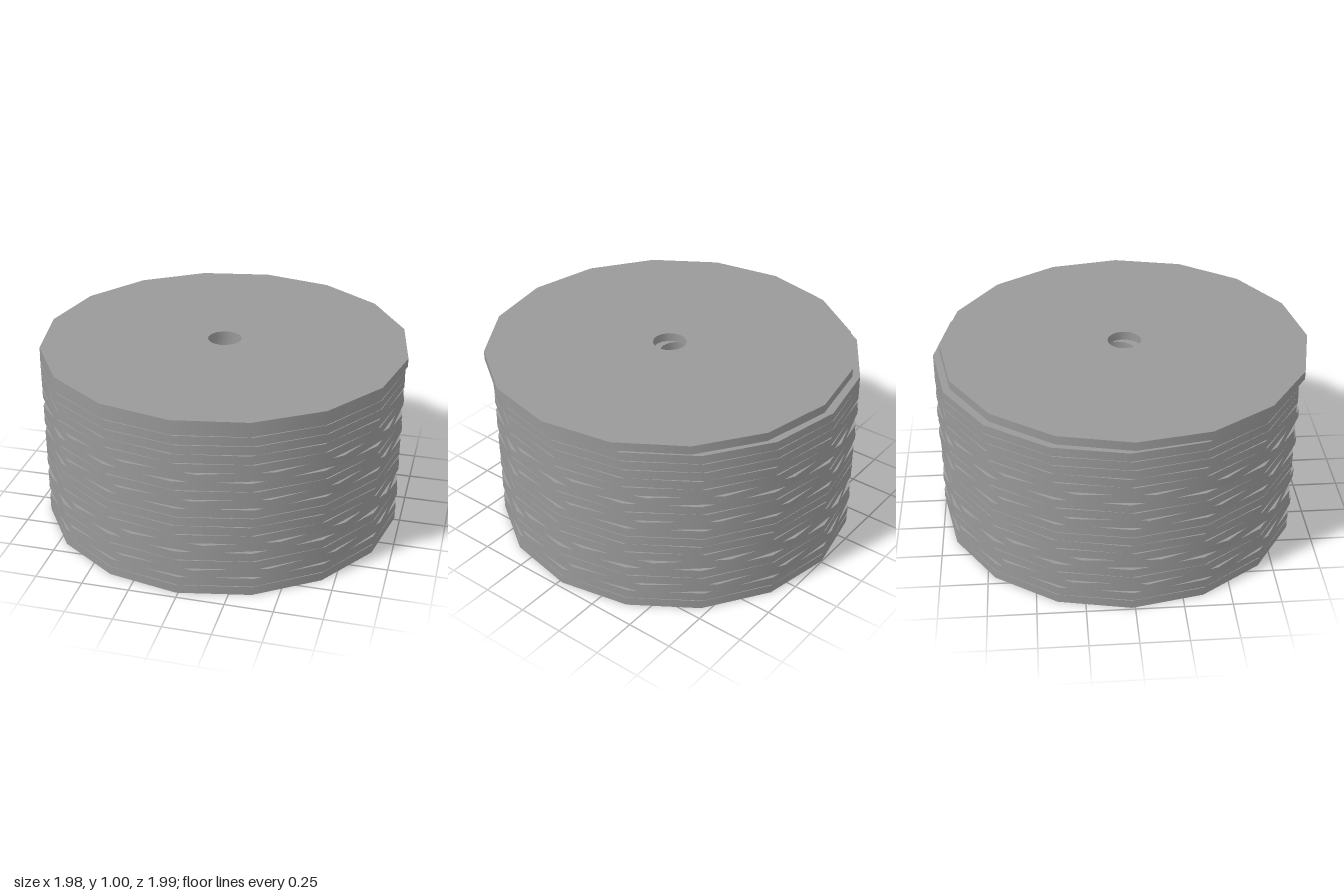
import * as THREE from 'three';
import { mergeGeometries } from 'three/addons/utils/BufferGeometryUtils.js';

const COUNT = 20, SIDES = 16;
const RADIUS = 0.98, HOLE = 0.09, THICKNESS = 0.047;
const PITCH = (1 - THICKNESS) / (COUNT - 1);

// Flat ring plate: each profile edge is its own lathe, so corners stay sharp and walls smooth
function plateGeometry() {
  const profile = [[HOLE, 0], [RADIUS, 0], [RADIUS, THICKNESS], [HOLE, THICKNESS]]
    .map(([x, y]) => new THREE.Vector2(x, y));
  return mergeGeometries(profile.map((p, i) =>
    new THREE.LatheGeometry([p, profile[(i + 1) % 4]], SIDES)));
}

export function createModel() {
  const model = new THREE.Group();
  model.name = 'discStack';
  const grey = new THREE.MeshStandardMaterial({ color: 0x999999 });
  grey.name = 'grey';
  const geometry = plateGeometry();

  // A few discs are turned further than the rest, in degrees
  const turns = { 2: 5, 5: 8.3, 10: 5, 13: 6.5, 19: -1.2 };
  for (let i = 0; i < COUNT; i++) {
    const disc = new THREE.Mesh(geometry, grey);
    disc.name = i === COUNT - 1 ? 'topDisc' : 'disc' + (i + 1);
    const turn = turns[i] ?? Math.sin(i * 2.4) * 0.8;
    disc.rotation.y = THREE.MathUtils.degToRad(turn);
    // The top disc sits slightly off the stack
    if (i === COUNT - 1) disc.position.set(0.006, i * PITCH, 0.017);
    else disc.position.set(-0.01, i * PITCH, -0.018);
    model.add(disc);
  }
  return model;
}
